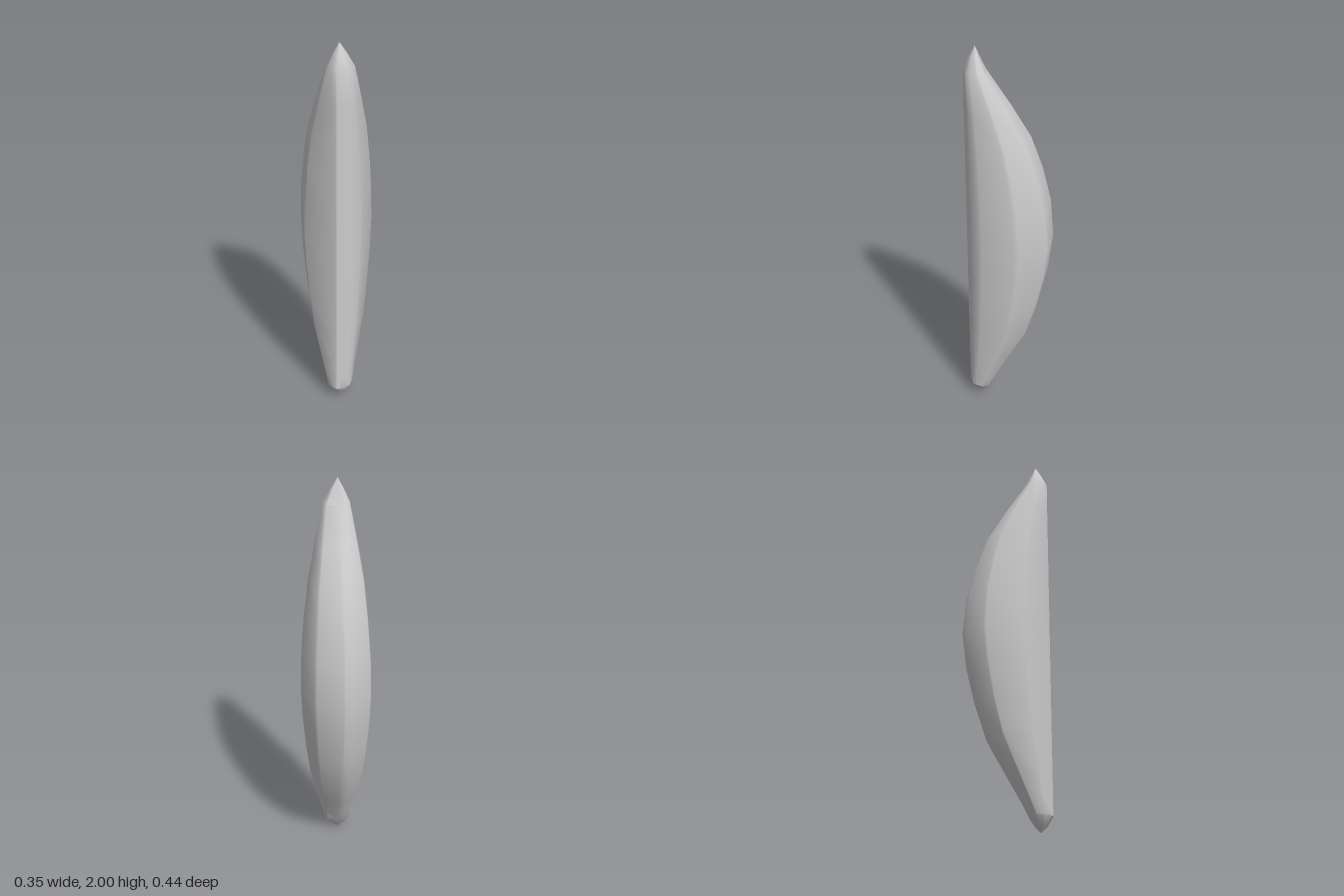
import * as THREE from 'three';
import { toCreasedNormals } from 'three/addons/utils/BufferGeometryUtils.js';

// Widest cross-section: [x, z, anchor x, anchor z]. Each point slides from its
// anchor on the straight front ridge out to its full position.
const ridge = [[0.03, 0.205], [-0.01, 0.217], [-0.03, 0.217], [-0.045, 0.208]];
const leftSide = [[0.09, -0.188], [0.105, -0.176], [0.174, -0.035], [0.174, -0.012], [0.105, 0.145], [0.095, 0.16], [0.06, 0.19]];
const rightSide = [[-0.17, 0.085], [-0.175, 0.075], [-0.175, -0.11], [-0.17, -0.12], [-0.08, -0.202]];
const back = [[-0.045, -0.218], [-0.03, -0.216]];
const profile = [
  ...back.map(([x, z]) => [x, z, -0.01, 0.2]),
  ...leftSide.map(([x, z]) => [x, z, 0.03, 0.2]),
  ...ridge.map(([x, z]) => [x, z, x, z]),
  ...rightSide.map(([x, z]) => [x, z, -0.038, 0.203]),
];

// Rings up the body: [y, swell, shrink toward the tip]
const rings = [
  [0, 0.2, 0], [0.03, 0.2, 0.55], [0.075, 0.22, 1], [0.15, 0.31, 1], [0.25, 0.45, 1],
  [0.44, 0.71, 1], [0.62, 0.85, 1], [0.8, 0.95, 1], [0.98, 1, 1], [1.18, 0.96, 1],
  [1.36, 0.86, 1], [1.53, 0.72, 1], [1.7, 0.49, 1], [1.88, 0.22, 1], [1.95, 0.2, 0.48], [2, 0.2, 0],
];
const tip = { x: -0.01, z: 0.16 };

function bodyGeometry() {
  const positions = [];
  const index = [];
  const n = profile.length;
  const lerp = THREE.MathUtils.lerp;
  for (const [y, swell, shrink] of rings) {
    for (const [x, z, ax, az] of profile) {
      positions.push(
        lerp(tip.x, lerp(ax, x, swell), shrink), y,
        lerp(tip.z, lerp(az, z, swell), shrink));
    }
  }
  const last = rings.length - 2;
  for (let r = 0; r <= last; r++) {
    for (let i = 0; i < n; i++) {
      const a = r * n + i, b = r * n + (i + 1) % n, c = a + n, d = b + n;
      // The end rings collapse to points, so they need one triangle per side
      if (r < last) index.push(a, c, d);
      if (r > 0) index.push(a, d, b);
      if (r === last) index.push(a, c, b), index.splice(-6, 3);
    }
  }
  const geometry = new THREE.BufferGeometry();
  geometry.setAttribute('position', new THREE.Float32BufferAttribute(positions, 3));
  geometry.setIndex(index);
  return toCreasedNormals(geometry, 0.5);
}

export function createModel() {
  const group = new THREE.Group();
  group.name = 'facetedSliver';
  const body = new THREE.Mesh(bodyGeometry(), new THREE.MeshStandardMaterial({ color: 0xcccccc }));
  body.name = 'body';
  group.add(body);
  return group;
}
